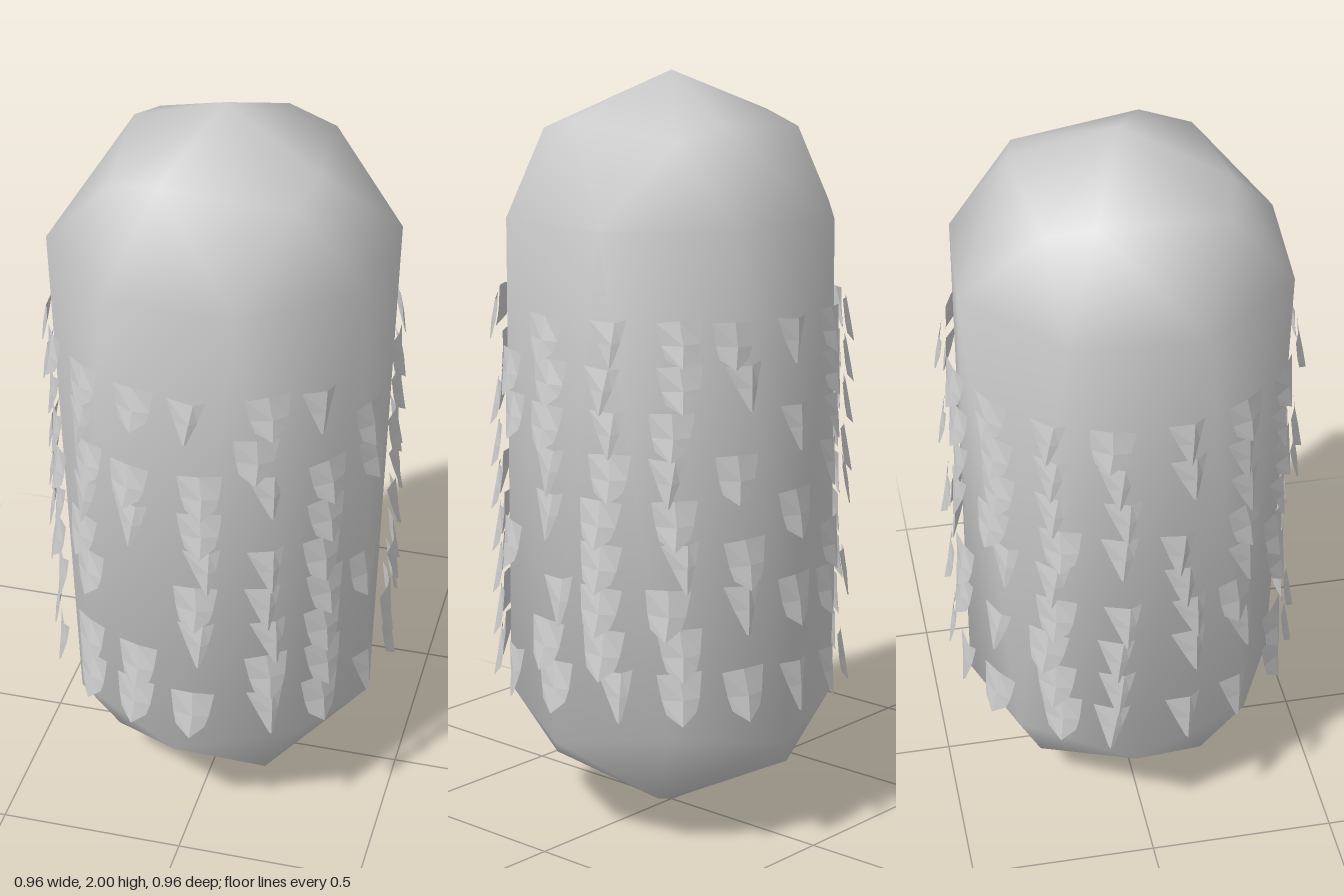
import * as THREE from 'three';

const DEG = Math.PI / 180;

// Low-sided capsule: octagon rings offset by half a step, closed by faceted caps
function makeBody() {
  const points = [], index = [];
  const addRing = (n, r, y, phase) => Array.from({ length: n }, (_, i) => {
    const a = (phase + i * 360 / n) * DEG;
    points.push(r * Math.sin(a), y, r * Math.cos(a));
    return points.length / 3 - 1;
  });
  const weave = (a, b) => a.flatMap((v, i) => [v, b[i]]);

  const [top] = addRing(1, 0, 2, 0);
  const topInner = weave(addRing(4, 0.282, 1.887, -21), addRing(4, 0.33, 1.853, 45));
  const topOuter = addRing(8, 0.452, 1.64, -27);
  const lowOuter = weave(addRing(4, 0.437, 0.33, 40.5), addRing(4, 0.423, 0.275, 85.5));
  const lowInner = addRing(4, 0.317, 0.125, 35);
  const [bottom] = addRing(1, 0, 0, 0);

  for (let j = 0; j < 8; j++) {
    const n = (j + 1) % 8;
    // Upper cap
    index.push(topOuter[j], topOuter[n], topInner[j]);
    index.push(topOuter[n], topInner[n], topInner[j]);
    index.push(topInner[j], topInner[n], top);
    // Side: each low corner sits between upper corners j + 1 and j + 2
    const right = topOuter[(j + 2) % 8];
    index.push(lowOuter[j], right, topOuter[n]);
    index.push(lowOuter[j], lowOuter[n], right);
  }
  // Lower cap
  for (let k = 0; k < 4; k++) {
    const here = lowInner[k], next = lowInner[(k + 1) % 4];
    const mid = lowOuter[2 * k], after = lowOuter[2 * k + 1];
    index.push(lowOuter[(2 * k + 7) % 8], here, mid);
    index.push(mid, here, after);
    index.push(after, here, next);
    index.push(here, bottom, next);
  }

  // Rounded normals, pointing away from the inner axis
  const normals = [];
  const v = new THREE.Vector3();
  for (let i = 0; i < points.length; i += 3) {
    v.fromArray(points, i);
    v.y -= THREE.MathUtils.clamp(v.y, 0.45, 1.55);
    normals.push(...v.normalize().toArray());
  }
  const geo = new THREE.BufferGeometry();
  geo.setAttribute('position', new THREE.Float32BufferAttribute(points, 3));
  geo.setAttribute('normal', new THREE.Float32BufferAttribute(normals, 3));
  geo.setIndex(index);
  const mesh = new THREE.Mesh(geo, new THREE.MeshStandardMaterial({ color: 0xcccccc }));
  mesh.name = 'body';
  return mesh;
}

// A scale is a sheet of three-point rows: root edge, belly, lower edge
function makeScaleGeometry(rows) {
  const index = [];
  for (let r = 0; r < rows.length - 1; r++) {
    for (let c = 0; c < 2; c++) {
      const a = r * 3 + c, b = a + 3;
      index.push(a, b, b + 1, a, b + 1, a + 1);
    }
  }
  const geo = new THREE.BufferGeometry();
  geo.setAttribute('position', new THREE.Float32BufferAttribute(rows.flat(2), 3));
  geo.setIndex(index);
  geo.computeVertexNormals();
  return geo;
}

// Repeatable value from -1 to 1 for each row and slot
function jitter(r, k) {
  const s = Math.sin(r * 127.1 + k * 311.7) * 43758.5;
  return (s - Math.floor(s)) * 2 - 1;
}

export function createModel() {
  const model = new THREE.Group();
  model.add(makeBody());

  const scaleMaterial = new THREE.MeshStandardMaterial({
    color: 0xcccccc, flatShading: true, side: THREE.DoubleSide,
  });
  const shapes = {
    w: makeScaleGeometry([
      [[-0.058, 0, -0.002], [0, 0.002, 0.004], [0.058, 0.002, -0.002]],
      [[-0.049, -0.06, 0.004], [0.005, -0.062, 0.016], [0.048, -0.06, 0.004]],
      [[-0.04, -0.094, 0.01], [0, -0.122, 0.027], [0.038, -0.092, 0.01]],
    ]),
    n: makeScaleGeometry([
      [[-0.049, 0, -0.001], [0.02, -0.004, 0.007], [0.049, 0.004, -0.001]],
      [[-0.024, -0.06, 0.008], [0.014, -0.06, 0.017], [0.034, -0.055, 0.005]],
      [[0.002, -0.118, 0.02], [0.008, -0.122, 0.023], [0.014, -0.116, 0.019]],
    ]),
  };

  // 17 slots run round the body from the front towards the left; w wide, n narrow, . gap
  const rows = [
    'nwn.wnwwnwwnwnwww',
    '.w.wwnwn.wwnnnnn.',
    'wnwwwnw.nnwnn.nww',
    'w.w.nwnw.nwwnnwnn',
    'nnw.nww.w.nn.nnw.',
    'wnww.wnw.w.wnnww.',
    'nnw.nwwnwwnwnnn..',
    '.ww.www....wn..ww',
    'wnwnwnwwnnwwnnnww',
  ];
  const scales = new THREE.Group();
  scales.name = 'scales';
  rows.forEach((row, r) => {
    [...row].forEach((kind, k) => {
      if (kind === '.') return;
      const wobble = jitter(r, k);
      const angle = (5 + k * 360 / 17 + wobble * 2.5) * DEG;
      const scale = new THREE.Mesh(shapes[kind], scaleMaterial);
      scale.name = 'scale';
      scale.position.set(0.456 * Math.sin(angle), 1.42 - r * 0.1135 + wobble * 0.006, 0.456 * Math.cos(angle));
      scale.rotation.set(0, angle, wobble * 0.08);
      scale.scale.y = 0.95 + r * 0.02;
      scales.add(scale);
    });
  });
  model.add(scales);
  return model;
}
